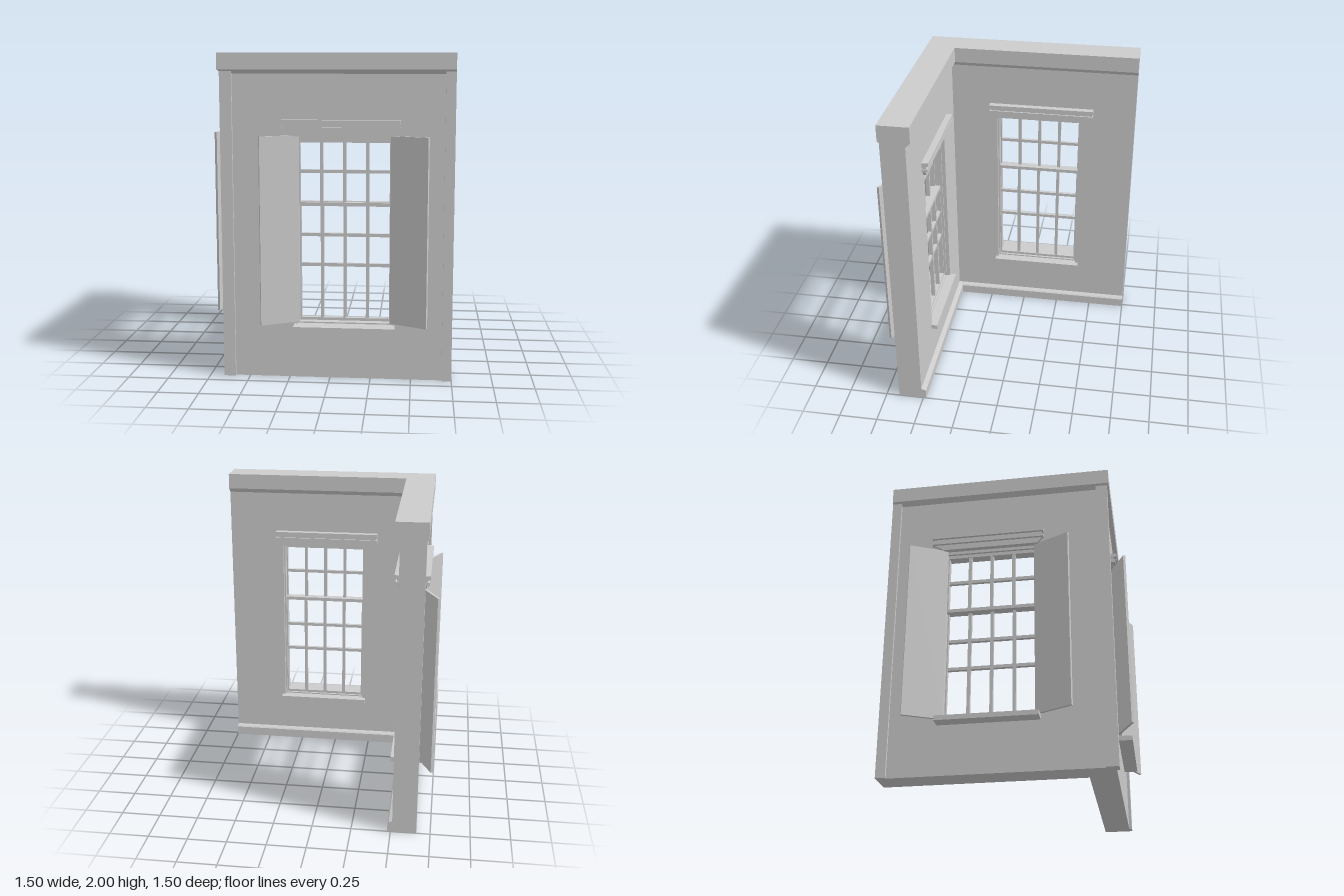
import * as THREE from 'three';

const material = new THREE.MeshStandardMaterial({ color: 0xcccccc, flatShading: true });

// Wall face positions, measured along the outward direction of a wing
const IN = 0.51, OUT = 0.645, END = 0.75;
// Window opening
const L = -0.2, R = 0.38, BOTTOM = 0.34, TOP = 1.505;

// Slide vertices at the left end onto the diagonal so both wings meet in a mitre
function mitre(geometry, leftX) {
  const p = geometry.attributes.position;
  for (let i = 0; i < p.count; i++) {
    if (Math.abs(p.getX(i) - leftX) < 1e-4) p.setX(i, -p.getZ(i));
  }
  geometry.computeVertexNormals();
  return geometry;
}

function box(x0, x1, y0, y1, z0, z1) {
  return new THREE.BoxGeometry(x1 - x0, y1 - y0, z1 - z0)
    .translate((x0 + x1) / 2, (y0 + y1) / 2, (z0 + z1) / 2);
}

// Extrude an outline drawn in x, y between two depths
function plate(points, z0, z1, hole) {
  const shape = new THREE.Shape(points.map(([x, y]) => new THREE.Vector2(x, y)));
  if (hole) shape.holes.push(new THREE.Path(hole.map(([x, y]) => new THREE.Vector2(x, y))));
  return new THREE.ExtrudeGeometry(shape, { depth: z1 - z0, bevelEnabled: false }).translate(0, 0, z0);
}

// Run a moulding with a (z, y) profile along x, from x0 to x1
function moulding(profile, x0, x1) {
  const shape = new THREE.Shape(profile.map(([z, y]) => new THREE.Vector2(-z, y)));
  return new THREE.ExtrudeGeometry(shape, { depth: x1 - x0, bevelEnabled: false })
    .rotateY(Math.PI / 2).translate(x0, 0, 0);
}

// Mirror geometry across the corner diagonal and restore its winding
function mirrorDiagonal(geometry) {
  const g = geometry.index ? geometry.toNonIndexed() : geometry;
  const p = g.attributes.position;
  for (let i = 0; i < p.count; i++) p.setXYZ(i, -p.getZ(i), p.getY(i), -p.getX(i));
  for (let i = 0; i < p.count; i += 3) {
    const b = [p.getX(i + 1), p.getY(i + 1), p.getZ(i + 1)];
    p.setXYZ(i + 1, p.getX(i + 2), p.getY(i + 2), p.getZ(i + 2));
    p.setXYZ(i + 2, ...b);
  }
  g.computeVertexNormals();
  return g;
}

function buildWing(name, mirrored, headLeft, headRight) {
  const wing = new THREE.Group();
  wing.name = name;
  const add = (part, geometry) => {
    const mesh = new THREE.Mesh(mirrored ? mirrorDiagonal(geometry) : geometry, material);
    mesh.name = part;
    wing.add(mesh);
  };

  // Wall with window opening
  add('wall', mitre(plate(
    [[-0.7, 0], [END, 0], [END, 1.9], [-0.7, 1.9]], IN, OUT,
    [[L, BOTTOM], [L, TOP], [R, TOP], [R, BOTTOM]]), -0.7));

  // Cornice with bevelled underside
  add('cornice', mitre(moulding(
    [[IN, 1.87], [OUT, 1.875], [0.675, 1.9], [0.675, 2], [0.48, 2], [0.48, 1.9]], -0.7, END), -0.7));

  // Inner skirting
  add('skirting', mitre(moulding(
    [[0.48, 0], [IN, 0], [IN, 0.075], [0.488, 0.068], [0.48, 0.06]], -0.7, END), -0.7));

  // Corner and end boards
  add('cornerBoard', mitre(box(-0.7, -0.59, 0, 1.89, OUT, 0.663), -0.7));
  add('endBoard', box(0.69, END, 0, 1.9, OUT, 0.663));

  // Sill passing through the wall
  add('sill', box(-0.22, 0.4, 0.312, 0.342, 0.47, 0.73));

  // Stepped window heads outside and inside
  for (const [side, face, out] of [['outer', OUT, 1], ['inner', IN, -1]]) {
    const depths = (depth) => [face - out * 0.005, face + out * depth].sort((a, b) => a - b);
    const slab = (y0, y1, inset, depth) =>
      box(headLeft + inset, headRight - inset, y0, y1, ...depths(depth));
    add(side + 'HeadCap', slab(1.578, 1.602, 0, 0.042));
    add(side + 'HeadNeck', slab(1.56, 1.578, 0.008, 0.026));
    add(side + 'HeadFillet', slab(1.54, 1.56, 0, 0.036));
    add(side + 'HeadFrieze', plate(
      [[L - 0.01, 1.503], [R + 0.01, 1.503], [headRight - 0.01, 1.54], [headLeft + 0.01, 1.54]],
      ...depths(0.02)));
  }

  // Window frame lining the opening
  add('windowFrame', plate(
    [[L, BOTTOM], [R, BOTTOM], [R, TOP], [L, TOP]], 0.535, 0.63,
    [[L + 0.01, 0.35], [L + 0.01, 1.485], [R - 0.01, 1.485], [R - 0.01, 0.35]]));

  // Two sashes: rails, stiles and glazing bars
  const sashes = [
    ['upperSash', 1.075, 1.485, 0.585, 0.615, [1.287]],
    ['lowerSash', 0.345, 1.1, 0.55, 0.583, [0.89, 0.702]],
  ];
  for (const [sash, y0, y1, z0, z1, rows] of sashes) {
    const l = L + 0.008, r = R - 0.008;
    add(sash + 'Frame', plate(
      [[l, y0], [r, y0], [r, y1], [l, y1]], z0, z1,
      [[l + 0.01, y0 + 0.022], [l + 0.01, y1 - 0.022], [r - 0.01, y1 - 0.022], [r - 0.01, y0 + 0.022]]));
    for (const x of [-0.052, 0.088, 0.228]) {
      add(sash + 'Upright', box(x - 0.01, x + 0.01, y0 + 0.01, y1 - 0.01, z0 + 0.003, z1 - 0.003));
    }
    for (const y of rows) {
      add(sash + 'Crossbar', box(l + 0.005, r - 0.005, y - 0.01, y + 0.01, z0 + 0.005, z1 - 0.005));
    }
  }

  // Shutters swung open on the opening's edges
  for (const [part, hingeX, side] of [['shutterA', -0.19, -1], ['shutterB', 0.37, 1]]) {
    const panel = box(0, 0.25, 0.352, 1.507, -0.008, 0.008);
    panel.rotateY(side > 0 ? -0.46 : Math.PI + 0.46);
    add(part, panel.translate(hingeX, 0, 0.632));
  }
  return wing;
}

export function createModel() {
  const model = new THREE.Group();
  model.name = 'cornerWalls';
  model.add(buildWing('frontWing', false, -0.29, 0.425));
  model.add(buildWing('sideWing', true, -0.25, 0.465));
  return model;
}
